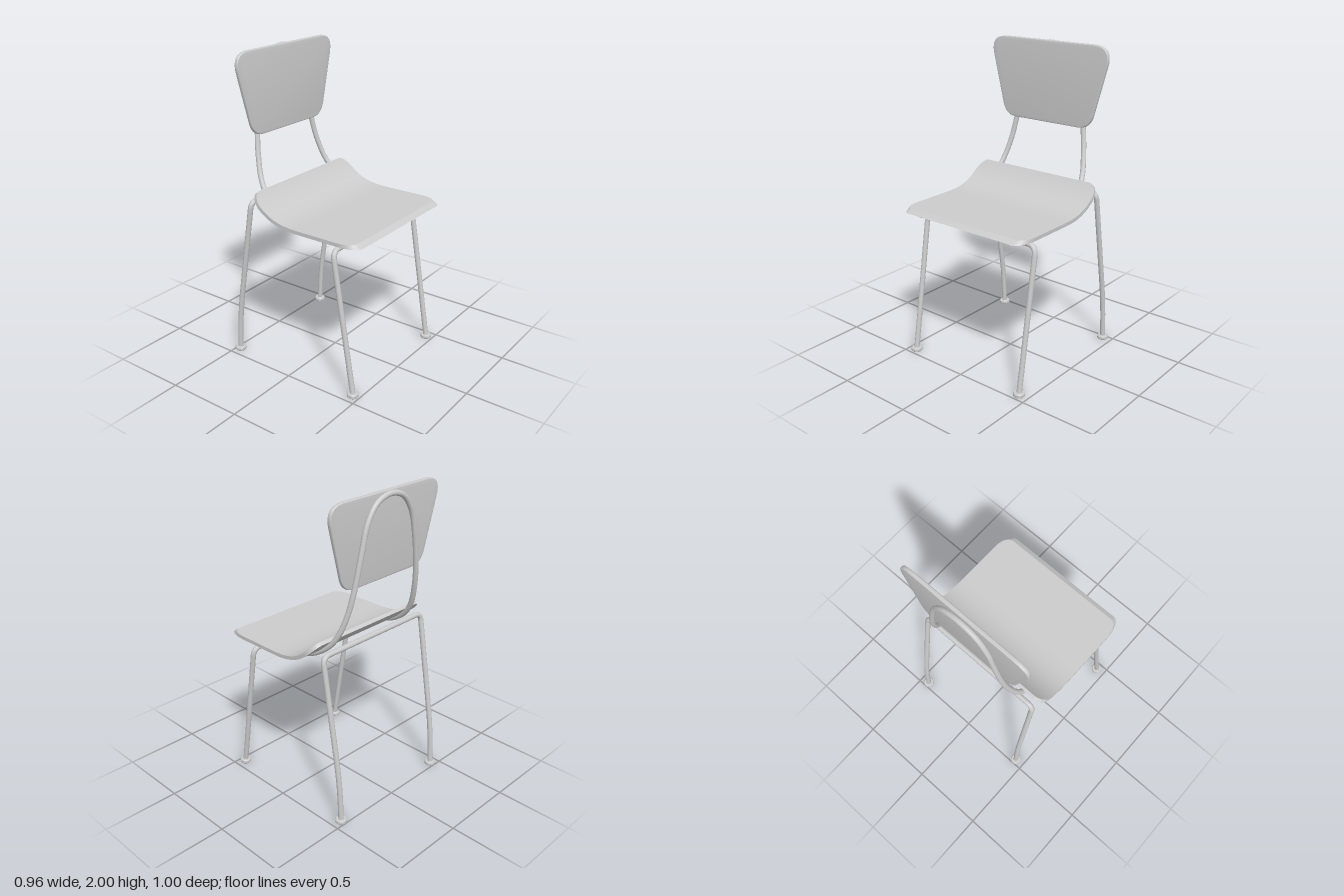
import * as THREE from 'three';
import { toCreasedNormals } from 'three/addons/utils/BufferGeometryUtils.js';

const V = (x, y, z) => new THREE.Vector3(x, y, z);
const material = new THREE.MeshStandardMaterial({ color: 0xcccccc });
const TUBE_RADIUS = 0.017;

function part(name, geometry) {
  const mesh = new THREE.Mesh(geometry, material);
  mesh.name = name;
  return mesh;
}

// Straight runs joined by rounded bends; each corner is [point, bend length].
function bentPath(corners) {
  const path = new THREE.CurvePath();
  let from = corners[0][0];
  for (let i = 1; i < corners.length - 1; i++) {
    const [p, bend] = corners[i];
    const toward = (q) => q.clone().sub(p).setLength(bend).add(p);
    const a = toward(corners[i - 1][0]), b = toward(corners[i + 1][0]);
    path.add(new THREE.LineCurve3(from, a));
    path.add(new THREE.QuadraticBezierCurve3(a, p, b));
    from = b;
  }
  path.add(new THREE.LineCurve3(from, corners[corners.length - 1][0]));
  return path;
}

// Mirrors the right-hand half of a list of bends across x = 0.
function legFrame(name, half) {
  const mirrored = half.map(([p, bend]) => [V(-p.x, p.y, p.z), bend]).reverse();
  return part(name, new THREE.TubeGeometry(bentPath([...half, ...mirrored]), 260, TUBE_RADIUS, 14));
}

// Seat: box sections lofted front to back, with rounded corners and a bevelled lip.
function seatGeometry() {
  const stations = [], N = 8;
  for (let i = N; i >= 0; i--) {
    const a = (i / N) * Math.PI / 2;
    stations.push([0.36 + 0.105 * Math.sin(a), 0.42 + 0.06 * Math.cos(a)]);
  }
  for (let i = 0; i <= 20; i++) stations.push([0.1 - 0.305 * i / 20, 0.48]);
  for (let i = 1; i <= N; i++) {
    const a = (i / N) * Math.PI / 2;
    stations.push([-0.205 - 0.07 * Math.sin(a), 0.41 + 0.07 * Math.cos(a)]);
  }
  const positions = [], index = [];
  stations.forEach(([z, w], i) => {
    const t = Math.max(0, 0.1 - z);
    const y = 1.01 + 2.94 * t ** 3, slope = 8.82 * t ** 2;
    const k = 0.023 / Math.hypot(1, slope);
    const lowY = y - k;
    const lowZ = z > 0.36 ? 0.36 + (z - 0.36) * 4 / 3 : z - slope * k;
    positions.push(w, y, z, -w, y, z, -w, lowY, lowZ, w, lowY, lowZ);
    if (i === 0) return;
    const a = (i - 1) * 4, b = i * 4;
    for (let j = 0; j < 4; j++) {
      const n = (j + 1) % 4;
      index.push(a + j, b + j, b + n, a + j, b + n, a + n);
    }
  });
  const e = (stations.length - 1) * 4;
  index.push(0, 1, 2, 0, 2, 3, e, e + 2, e + 1, e, e + 3, e + 2);
  const g = new THREE.BufferGeometry();
  g.setAttribute('position', new THREE.Float32BufferAttribute(positions, 3));
  g.setIndex(index);
  return toCreasedNormals(g, 0.5);
}

// Backrest: rounded trapezoid panel with softened edges, leaning back slightly.
function backrestGeometry() {
  const s = new THREE.Shape();
  s.moveTo(-0.34, 2.0);
  s.quadraticCurveTo(-0.476, 2.0, -0.444, 1.875);
  s.lineTo(-0.359, 1.56);
  s.quadraticCurveTo(-0.335, 1.475, -0.25, 1.475);
  s.lineTo(0.25, 1.475);
  s.quadraticCurveTo(0.335, 1.475, 0.359, 1.56);
  s.lineTo(0.444, 1.875);
  s.quadraticCurveTo(0.476, 2.0, 0.34, 2.0);
  s.closePath();
  const g = new THREE.ExtrudeGeometry(s, {
    depth: 0.013, curveSegments: 14, bevelSegments: 3,
    bevelSize: 0.006, bevelThickness: 0.006, bevelOffset: -0.006,
  });
  const p = g.attributes.position;
  for (let i = 0; i < p.count; i++) {
    p.setZ(i, p.getZ(i) - 0.381 - 0.012 * (p.getY(i) - 1.475) / 0.525);
  }
  return toCreasedNormals(g, 0.6);
}

// Back support: one looped tube whose front ends are flattened into tabs under the seat.
function supportGeometry() {
  const half = [
    V(0.365, 0.965, 0.465), V(0.365, 0.965, 0.3), V(0.365, 0.966, 0.12),
    V(0.362, 0.982, 0), V(0.357, 1.008, -0.1), V(0.35, 1.048, -0.19),
    V(0.337, 1.115, -0.277), V(0.32, 1.2, -0.334), V(0.293, 1.33, -0.377),
    V(0.267, 1.48, -0.402), V(0.226, 1.7, -0.416), V(0.185, 1.85, -0.418),
    V(0.11, 1.95, -0.418),
  ];
  const mirrored = half.map((p) => V(-p.x, p.y, p.z)).reverse();
  const curve = new THREE.CatmullRomCurve3([...half, V(0, 1.983, -0.418), ...mirrored]);
  const g = new THREE.TubeGeometry(curve, 260, TUBE_RADIUS, 14);
  const p = g.attributes.position;
  for (let i = 0; i < p.count; i++) {
    const flat = THREE.MathUtils.smoothstep(p.getZ(i), 0.29, 0.36);
    p.setY(i, THREE.MathUtils.lerp(p.getY(i), 0.963 + (p.getY(i) - 0.965) * 0.3, flat));
  }
  g.computeVertexNormals();
  return g;
}

export function createModel() {
  const chair = new THREE.Group();
  chair.name = 'chair';

  chair.add(part('seat', seatGeometry()));
  chair.add(part('backrest', backrestGeometry()));
  chair.add(part('backSupport', supportGeometry()));

  // Leg frames: each is a pair of legs and a crossbar bent from one tube
  chair.add(legFrame('frontLegs', [
    [V(0.437, 0.015, 0.455), 0], [V(0.437, 0.927, 0.305), 0.06],
  ]));
  chair.add(legFrame('rearLegs', [
    [V(0.437, 0.015, -0.468), 0], [V(0.437, 0.28, -0.455), 0.16], [V(0.437, 1.09, -0.32), 0.05],
  ]));

  // Feet
  const profile = [[0, 0], [0.033, 0], [0.036, 0.004], [0.036, 0.02], [0.031, 0.026], [0, 0.026]]
    .map(([r, y]) => new THREE.Vector2(r, y));
  const footGeometry = toCreasedNormals(new THREE.LatheGeometry(profile, 24), 0.5);
  for (const [side, x] of [['left', 0.437], ['right', -0.437]]) {
    for (const [end, z] of [['Front', 0.455], ['Rear', -0.468]]) {
      const foot = part(`${side}${end}Foot`, footGeometry);
      foot.position.set(x, 0, z);
      chair.add(foot);
    }
  }
  return chair;
}
